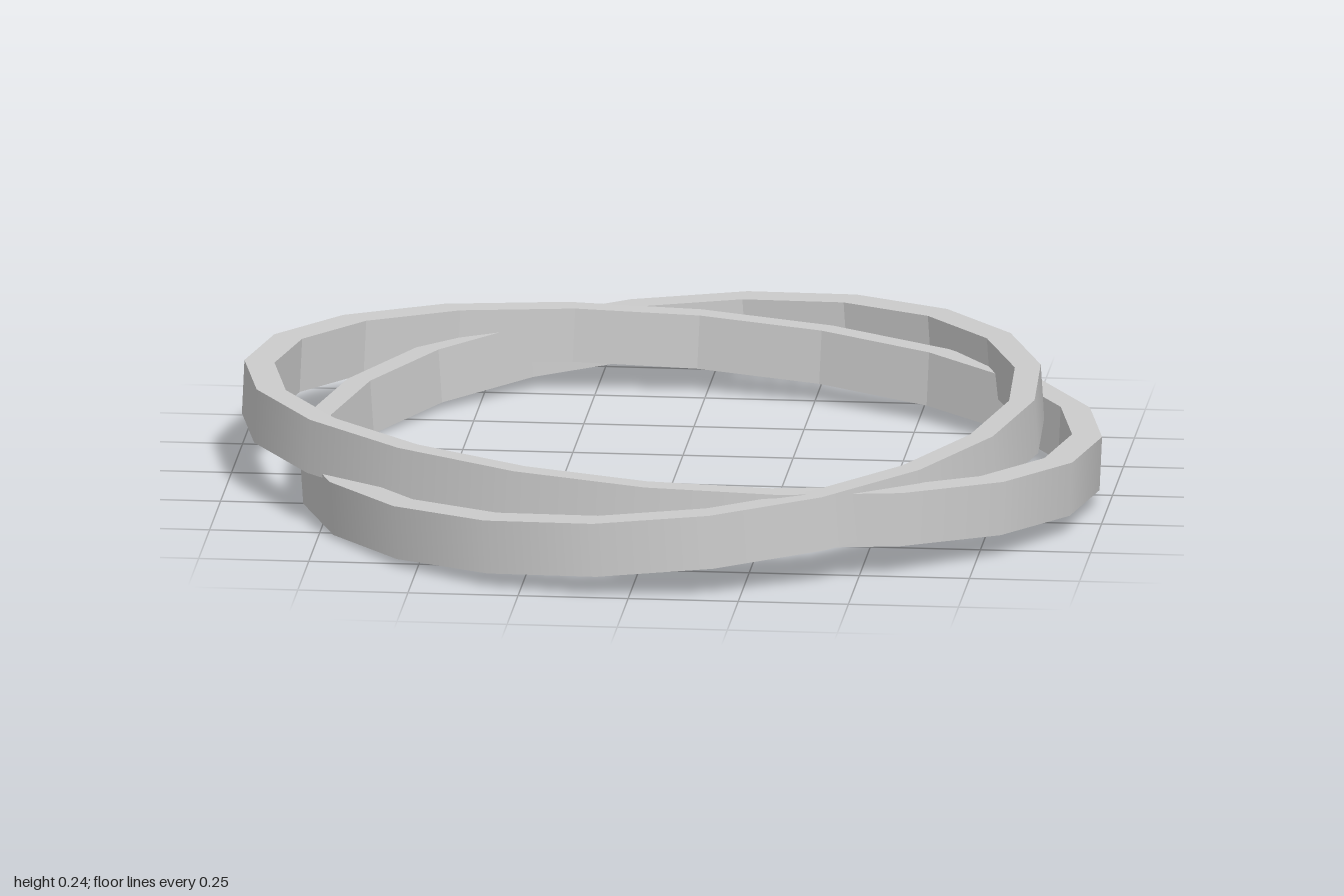
import * as THREE from 'three';
import { mergeGeometries } from 'three/addons/utils/BufferGeometryUtils.js';

const SIDES = 20, INNER = 0.93, HEIGHT = 0.124;

// Unit band: radius 1, height 1, smooth outside, faceted inside, flat rims
function bandGeometry() {
  const outer = new THREE.CylinderGeometry(1, 1, 1, SIDES, 1, true).toNonIndexed();

  const inside = new THREE.CylinderGeometry(INNER, INNER, 1, SIDES, 1, true);
  inside.setIndex(Array.from(inside.index.array).reverse()); // face the axis
  const inner = inside.toNonIndexed();
  inner.computeVertexNormals();

  const rim = (turn, y) => new THREE.RingGeometry(INNER, 1, SIDES, 1)
    .rotateX(turn).translate(0, y, 0).toNonIndexed();
  return mergeGeometries([outer, inner, rim(-Math.PI / 2, 0.5), rim(Math.PI / 2, -0.5)]);
}

// Stretch the band into a tilted oval: side and front are its half axes
function ovalBand(name, y, side, front) {
  const up = front.clone().cross(side).normalize().multiplyScalar(HEIGHT);
  const matrix = new THREE.Matrix4().makeBasis(side, up, front).setPosition(0, y, 0);
  const material = new THREE.MeshStandardMaterial({ color: 0xcccccc });
  const mesh = new THREE.Mesh(bandGeometry().applyMatrix4(matrix), material);
  mesh.name = name;
  return mesh;
}

export function createModel() {
  const group = new THREE.Group();
  group.name = 'crossedBands';
  // Two ovals at right angles, tilted opposite ways, passing through each other
  group.add(
    ovalBand('deepBand', 0.118,
      new THREE.Vector3(0.833, 0.055, 0.057), new THREE.Vector3(-0.077, -0.007, 0.997)),
    ovalBand('wideBand', 0.139,
      new THREE.Vector3(0.982, -0.041, 0.085), new THREE.Vector3(0.02, 0.02, 0.85)),
  );
  return group;
}
